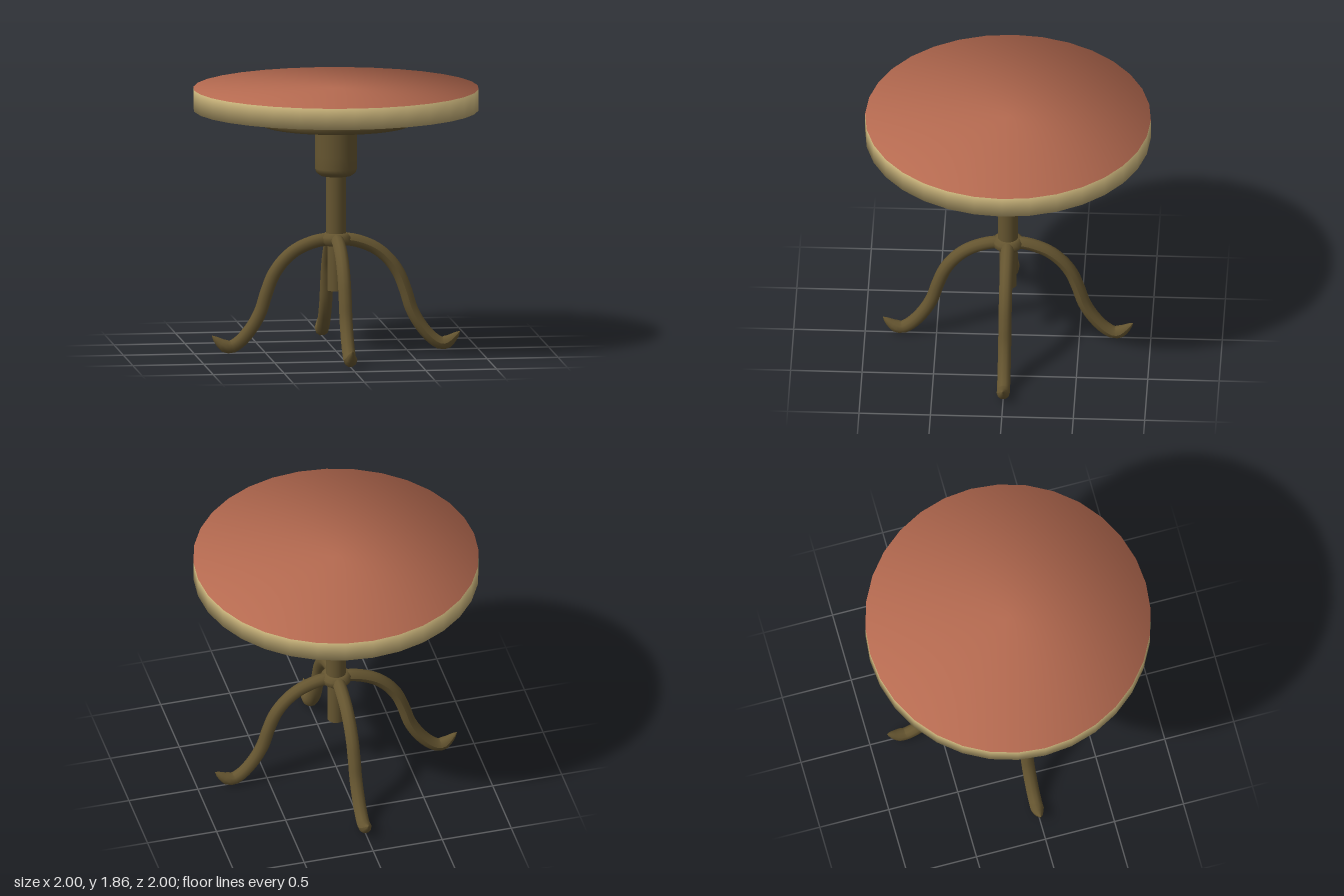
import * as THREE from 'three';

const V2 = (x, y) => new THREE.Vector2(x, y);

// Octagonal-section ring lying flat, with flat faces outward
function ringGeometry(radius, tube, y, sides) {
  const points = [];
  for (let i = 0; i <= 8; i++) {
    const a = Math.PI / 2 + (i + 0.5) * Math.PI / 4;
    points.push(V2(radius + tube * Math.cos(a), y + tube * Math.sin(a)));
  }
  return new THREE.LatheGeometry(points, sides);
}

// Cabriole leg: a tube along an S curve, tapering to an upturned toe
function legGeometry() {
  const path = [
    [0.0, 0.797], [0.11, 0.797], [0.265, 0.742], [0.365, 0.663], [0.44, 0.56],
    [0.49, 0.435], [0.533, 0.30], [0.597, 0.185], [0.68, 0.09], [0.745, 0.053],
    [0.79, 0.064], [0.84, 0.102], [0.877, 0.137],
  ];
  const curve = new THREE.CatmullRomCurve3(path.map(([x, y]) => new THREE.Vector3(x, y, 0)));
  const steps = 44, sides = 10;
  const geometry = new THREE.TubeGeometry(curve, steps, 0.046, sides, false);
  const pos = geometry.attributes.position;
  const v = new THREE.Vector3();
  for (let i = 0; i <= steps; i++) {
    const center = curve.getPointAt(i / steps);
    const scale = Math.pow(Math.min(1, (1 - i / steps) / 0.09), 0.7);
    for (let j = 0; j <= sides; j++) {
      const k = i * (sides + 1) + j;
      v.fromBufferAttribute(pos, k).sub(center).multiplyScalar(scale).add(center);
      pos.setXYZ(k, v.x, v.y, v.z);
    }
  }
  geometry.computeVertexNormals();
  return geometry;
}

// Disc whose rim normals are shared by side and caps, for soft shading across the edge
function softDiscGeometry(radius, height, sides) {
  const geometry = new THREE.CylinderGeometry(radius, radius, height, sides);
  const { position, normal } = geometry.attributes;
  for (let i = 0; i < position.count; i++) {
    const k = Math.SQRT1_2;
    normal.setXYZ(i, k * position.getX(i) / radius, k * Math.sign(position.getY(i)), k * position.getZ(i) / radius);
  }
  return geometry;
}

export function createModel() {
  const material = (name, color) => {
    const m = new THREE.MeshStandardMaterial({ color });
    m.name = name;
    return m;
  };
  const leather = material('redBrownLeather', 0xb56a50);
  const trim = material('tanTrim', 0xc2ad76);
  const metal = material('darkBronze', 0x655530);

  const model = new THREE.Group();
  model.name = 'stool';
  const add = (name, geometry, mat, y = 0) => {
    const mesh = new THREE.Mesh(geometry, mat);
    mesh.name = name;
    mesh.position.y = y;
    model.add(mesh);
    return mesh;
  };

  // Round seat: tan side band, leather top and underside
  add('seat', softDiscGeometry(1, 0.15, 32), [trim, leather, leather], 1.795);

  // Support ring just below the seat
  add('supportRing', ringGeometry(0.503, 0.05, 1.66, 40), metal);

  // Hub with a rounded lower edge
  add('hub', new THREE.LatheGeometry([
    V2(0.06, 1.25), V2(0.108, 1.253), V2(0.138, 1.275), V2(0.148, 1.305), V2(0.148, 1.4), V2(0.148, 1.72),
  ], 24), metal);

  // Two-stage centre post and the collar where the legs meet
  add('upperPost', new THREE.CylinderGeometry(0.071, 0.071, 0.48, 20), metal, 1.03);
  add('lowerPost', new THREE.CylinderGeometry(0.061, 0.061, 0.38, 20), metal, 0.63);
  add('collar', ringGeometry(0.062, 0.047, 0.803, 20), metal);

  // Four legs
  const leg = legGeometry();
  ['leftLeg', 'backLeg', 'rightLeg', 'frontLeg'].forEach((name, i) => {
    add(name, leg, metal).rotation.y = i * Math.PI / 2;
  });

  return model;
}
